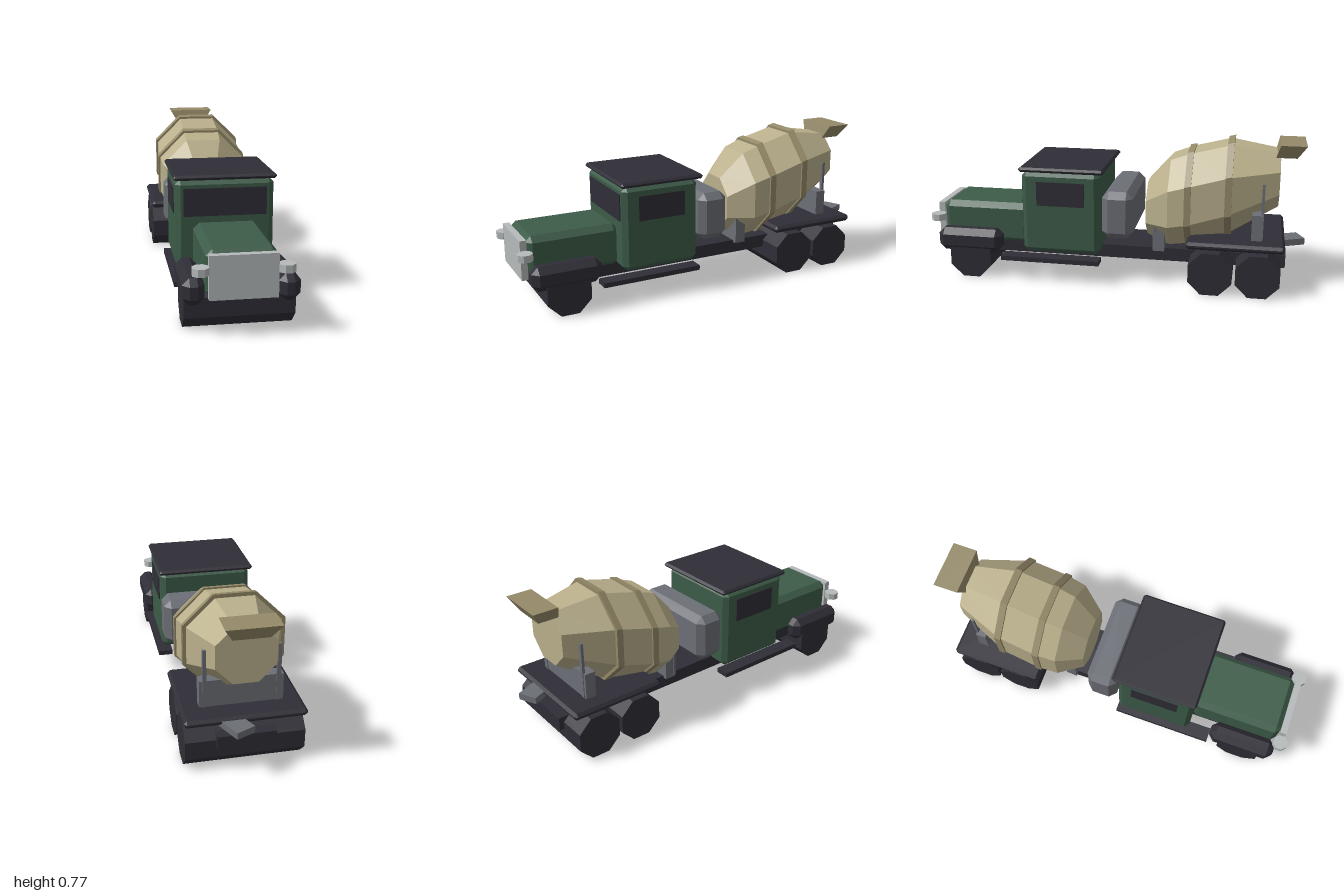
import * as THREE from 'three';
import { ConvexGeometry } from 'three/addons/geometries/ConvexGeometry.js';

export function createModel() {
  const root = new THREE.Group();
  root.name = 'mixerTruck';

  const paint = (name, color) => {
    const m = new THREE.MeshStandardMaterial({ color, flatShading: true });
    m.name = name;
    return m;
  };
  const green = paint('greenPaint', 0x3d5c49);
  const dark = paint('darkRubber', 0x2f2e37);
  const grey = paint('steelGrey', 0x6c6f76);
  const silver = paint('silver', 0xb6baba);
  const tan = paint('drumTan', 0xbab08c);
  const trim = paint('drumTrim', 0x958a69);

  const add = (name, geometry, material) => {
    const mesh = new THREE.Mesh(geometry, material);
    mesh.name = name;
    root.add(mesh);
    return mesh;
  };

  // Box given by its ranges on each axis
  const box = (name, material, [x0, x1], [y0, y1], [z0, z1]) => {
    const mesh = add(name, new THREE.BoxGeometry(x1 - x0, y1 - y0, z1 - z0), material);
    mesh.position.set((x0 + x1) / 2, (y0 + y1) / 2, (z0 + z1) / 2);
    return mesh;
  };

  // Box with every edge cut at 45 degrees by c
  const chamferBox = (name, material, [x0, x1], [y0, y1], [z0, z1], c) => {
    const half = [(x1 - x0) / 2, (y1 - y0) / 2, (z1 - z0) / 2];
    const points = [];
    for (const sx of [-1, 1]) for (const sy of [-1, 1]) for (const sz of [-1, 1]) {
      for (let axis = 0; axis < 3; axis++) {
        const p = half.map((h, i) => (i === axis ? h : h - c));
        points.push(new THREE.Vector3(p[0] * sx, p[1] * sy, p[2] * sz));
      }
    }
    const mesh = add(name, new ConvexGeometry(points), material);
    mesh.position.set((x0 + x1) / 2, (y0 + y1) / 2, (z0 + z1) / 2);
    return mesh;
  };

  // Eight corners of an upright octagon; r is the distance to a flat side
  const octagon = (z, cy, r) => Array.from({ length: 8 }, (_, i) => {
    const a = (i + 0.5) * Math.PI / 4, R = r / Math.cos(Math.PI / 8);
    return new THREE.Vector3(Math.cos(a) * R, cy + Math.sin(a) * R, z);
  });

  // Frame
  box('chassis', dark, [-0.14, 0.14], [0.12, 0.19], [-0.905, 0.82]);

  // Wheel rollers, one per axle
  for (const [z, half] of [[0.77, 0.255], [-0.525, 0.285], [-0.767, 0.285]]) {
    const R = 0.1125 / Math.cos(Math.PI / 8);
    const geo = new THREE.CylinderGeometry(R, R, half * 2, 8);
    geo.rotateY(Math.PI / 8).rotateZ(Math.PI / 2);
    add('wheels', geo, dark).position.set(0, 0.1125, z);
  }

  // Cab, roof and windows
  chamferBox('cab', green, [-0.243, 0.243], [0.16, 0.602], [0.06, 0.475], 0.025);
  chamferBox('roof', dark, [-0.255, 0.255], [0.6, 0.625], [0.033, 0.487], 0.011);
  box('windshield', dark, [-0.205, 0.205], [0.422, 0.56], [0.472, 0.48]);

  // Engine hood and grille
  chamferBox('hood', green, [-0.162, 0.162], [0.172, 0.395], [0.465, 0.945], 0.03);
  box('grille', silver, [-0.154, 0.154], [0.18, 0.383], [0.942, 0.975]);

  for (const s of [-1, 1]) {
    const side = (a, b) => (s > 0 ? [a, b] : [-b, -a]);
    box('sideWindow', dark, side(0.24, 0.248), [0.422, 0.55], [0.137, 0.392]);
    chamferBox('fender', dark, side(0.165, 0.266), [0.142, 0.268], [0.595, 0.95], 0.033);
    box('runningBoard', dark, side(0.19, 0.266), [0.11, 0.135], [0.06, 0.595]);

    const lamp = new THREE.CylinderGeometry(0.04, 0.04, 0.036, 8);
    lamp.rotateY(Math.PI / 8);
    add('headlight', lamp, silver).position.set(s * 0.19, 0.314, 0.963);

    // Posts that hold the drum
    box('frontDrumPost', grey, side(0.145, 0.17), [0.19, 0.445], [-0.23, -0.215]);
    box('rearDrumPost', grey, side(0.165, 0.185), [0.27, 0.575], [-0.784, -0.77]);
  }

  // Water tank behind the cab
  chamferBox('waterTank', grey, [-0.252, 0.252], [0.258, 0.51], [-0.117, 0.047], 0.035);

  // Rear deck and drum cradles
  chamferBox('rearDeck', dark, [-0.29, 0.29], [0.243, 0.28], [-0.897, -0.397], 0.014);
  box('frontCradle', grey, [-0.165, 0.165], [0.18, 0.32], [-0.275, -0.215]);
  box('rearCradle', grey, [-0.2, 0.2], [0.27, 0.415], [-0.78, -0.725]);

  // Mixing drum: octagonal sections rising to the rear
  const sections = [
    [-0.172, 0.385, 0.145], [-0.295, 0.43, 0.232], [-0.4, 0.457, 0.243],
    [-0.6, 0.515, 0.236], [-0.855, 0.572, 0.142],
  ];
  const rings = sections.map((s) => octagon(...s));
  const tri = [];
  const face = (...ps) => ps.forEach((p) => tri.push(p.x, p.y, p.z));
  for (let k = 0; k < rings.length - 1; k++) {
    for (let i = 0; i < 8; i++) {
      const j = (i + 1) % 8, a = rings[k], b = rings[k + 1];
      face(a[i], b[i], a[j]);
      face(a[j], b[i], b[j]);
    }
  }
  const last = rings[rings.length - 1];
  for (let i = 1; i < 7; i++) {
    face(rings[0][0], rings[0][i], rings[0][i + 1]);
    face(last[0], last[i + 1], last[i]);
  }
  const drum = new THREE.BufferGeometry();
  drum.setAttribute('position', new THREE.Float32BufferAttribute(tri, 3));
  drum.computeVertexNormals();
  add('mixingDrum', drum, tan);

  // Raised bands round the drum
  for (const [z, cy, r] of [[-0.398, 0.458, 0.251], [-0.602, 0.517, 0.246]]) {
    const points = [...octagon(z + 0.017, cy - 0.004, r), ...octagon(z - 0.017, cy + 0.004, r)];
    add('drumBand', new ConvexGeometry(points), trim);
  }

  // Loading hopper, widening upward
  const hopper = [];
  for (const s of [-1, 1]) {
    hopper.push(new THREE.Vector3(s * 0.127, 0.765, -0.85), new THREE.Vector3(s * 0.127, 0.765, -0.98));
    hopper.push(new THREE.Vector3(s * 0.085, 0.693, -0.83), new THREE.Vector3(s * 0.085, 0.693, -0.936));
  }
  add('hopper', new ConvexGeometry(hopper), trim);

  // Discharge chute, swung to one side
  const chute = add('dischargeChute', new THREE.BoxGeometry(0.1, 0.034, 0.2), grey);
  chute.position.set(0.067, 0.25, -0.888);
  chute.rotation.y = 0.43;

  return root;
}
